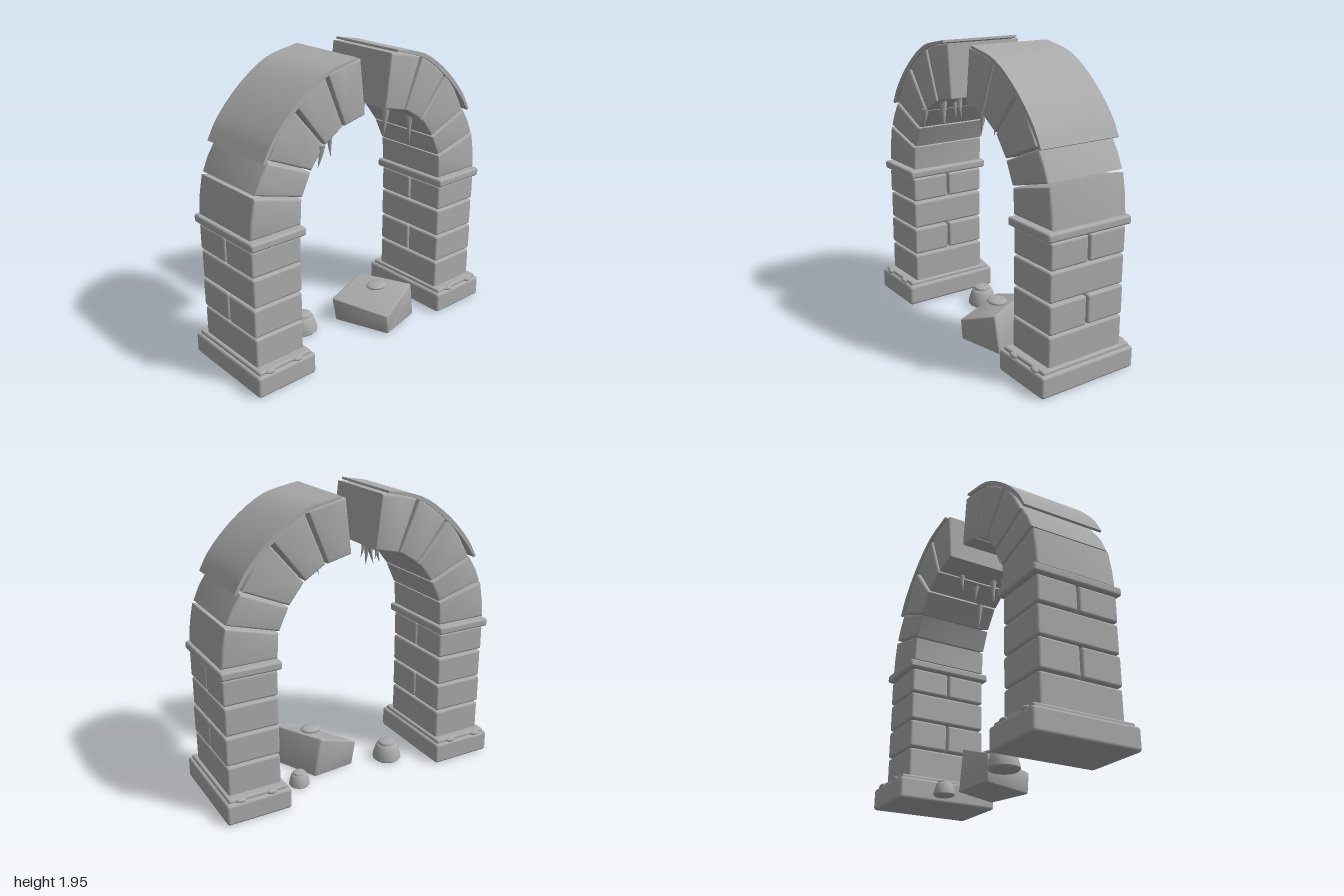
import * as THREE from 'three';
import { toCreasedNormals } from 'three/addons/utils/BufferGeometryUtils.js';
import { RoundedBoxGeometry } from 'three/addons/geometries/RoundedBoxGeometry.js';

const stone = new THREE.MeshStandardMaterial({ color: 0xaaaaaa });
stone.name = 'grey stone';

function add(parent, name, geometry, x = 0, y = 0, z = 0) {
  const mesh = new THREE.Mesh(geometry, stone);
  mesh.name = name;
  mesh.position.set(x, y, z);
  parent.add(mesh);
  return mesh;
}

// Rounded block given by its extents
function block(parent, name, x0, x1, y0, y1, z0, z1, r = 0.016) {
  const geo = new RoundedBoxGeometry(x1 - x0, y1 - y0, z1 - z0, 2, r);
  return add(parent, name, geo, (x0 + x1) / 2, (y0 + y1) / 2, (z0 + z1) / 2);
}

// Outline in x,y extruded through the depth of the arch, with soft edges
function slab(points, halfDepth, bevel) {
  const shape = new THREE.Shape(points.map(([x, y]) => new THREE.Vector2(x, y)));
  const geo = new THREE.ExtrudeGeometry(shape, {
    depth: 2 * (halfDepth - bevel), steps: 1, bevelEnabled: bevel > 0,
    bevelSize: bevel, bevelThickness: bevel, bevelOffset: -bevel, bevelSegments: 3,
  });
  geo.translate(0, 0, -halfDepth + bevel);
  return toCreasedNormals(geo, 0.6);
}

// Wedge stones for one side of the arch, from the springing upwards
const wedges = [
  [[0.96, 1.01], [0.95, 1.13], [0.925, 1.26], [0.585, 1.17], [0.595, 1.01]],
  [[0.915, 1.275], [0.875, 1.365], [0.82, 1.45], [0.515, 1.32], [0.58, 1.18]],
  [[0.805, 1.46], [0.72, 1.61], [0.63, 1.72], [0.41, 1.46], [0.51, 1.33]],
  [[0.61, 1.73], [0.51, 1.81], [0.4, 1.875], [0.265, 1.55], [0.4, 1.465]],
  [[0.38, 1.88], [0.26, 1.915], [0.125, 1.935], [0.085, 1.59], [0.25, 1.55]],
];

function archHalf(side) {
  const half = new THREE.Group();
  half.name = side > 0 ? 'leftHalf' : 'rightHalf';
  const span = (name, a, b, ...rest) =>
    block(half, name, Math.min(a * side, b * side), Math.max(a * side, b * side), ...rest);

  // Plinth with a thin moss layer and small clumps
  span('plinth', 0.56, 1, 0, 0.145, -0.355, 0.355, 0.02);
  span('plinthMoss', 0.58, 0.98, 0.135, 0.168, -0.335, 0.335, 0.014);
  for (const z of [-0.335, 0.335]) for (const x of [0.69, 0.9]) {
    add(half, 'mossClump', new THREE.SphereGeometry(1, 12, 8), side * x, 0.152, z)
      .scale.set(0.035, 0.016, 0.02);
  }

  // Pillar courses, every second one split in two
  const courses = [[0.155, 0.36], [0.37, 0.56], [0.57, 0.76], [0.77, 0.94]];
  courses.forEach(([y0, y1], i) => {
    const out = i % 2 ? 0.962 : 0.958;
    if (i % 2) {
      span('pillarBlock', 0.6, out, y0, y1, -0.28, -0.006);
      span('pillarBlock', 0.6, out, y0, y1, 0.006, 0.28);
    } else span('pillarBlock', 0.6, out, y0, y1, -0.28, 0.28);
  });
  span('capital', 0.58, 0.978, 0.946, 1.002, -0.31, 0.31);

  // Wedge stones
  for (const pts of wedges) {
    add(half, 'wedgeStone', slab(pts.map(([x, y]) => [x * side, y]), 0.278, 0.014));
  }

  // Curved covering over the upper three stones
  const ridge = new THREE.CatmullRomCurve3(
    [[0.86, 1.455], [0.79, 1.575], [0.62, 1.755], [0.41, 1.895], [0.165, 1.952]]
      .map(([x, y]) => new THREE.Vector3(x, y, 0))).getPoints(16);
  const outer = ridge.map(p => [p.x * side, p.y]);
  const inner = ridge.map((p, i) => {
    const n = new THREE.Vector2(p.x, p.y - 1).normalize();
    const t = 0.015 + 0.016 * Math.sin(Math.PI * i / 16);
    return [(p.x - n.x * t) * side, p.y - n.y * t];
  }).reverse();
  add(half, 'archCovering', slab([...outer, ...inner], 0.286, 0));
  return half;
}

// Hanging root: a thin cone whose tip bends sideways
function hangingRoot(x, top, tip, z, bend, r) {
  const h = top - tip;
  const geo = new THREE.ConeGeometry(r, h, 8, 6);
  geo.rotateX(Math.PI);
  const p = geo.attributes.position;
  for (let i = 0; i < p.count; i++) {
    const t = 0.5 - p.getY(i) / h;
    p.setX(i, p.getX(i) + bend * t * t);
  }
  geo.computeVertexNormals();
  geo.translate(x, (top + tip) / 2, z);
  return geo;
}

// Loose rock with a flattened top
function rock(parent, x, z, r, h) {
  const profile = [[0, 0], [0.88, 0], [1, 0.08], [0.96, 0.3], [0.75, 0.78], [0.62, 0.84],
    [0.58, 0.95], [0.45, 1], [0, 1]].map(([a, b]) => new THREE.Vector2(a * r, b * h));
  add(parent, 'looseRock', toCreasedNormals(new THREE.LatheGeometry(profile, 14), 0.7), x, 0, z);
}

// Toppled wedge stone: a rounded cube mapped onto eight corners
function fallenStone() {
  const v = a => new THREE.Vector3(...a);
  const bottom = [[-0.05, 0, -0.06], [0.26, 0, -0.09], [0.09, 0.005, 0.33], [0.42, 0.005, 0.25]].map(v);
  const top = [[-0.075, 0.175, -0.07], [0.21, 0.275, -0.09], [0.08, 0.14, 0.335], [0.38, 0.265, 0.26]].map(v);
  const geo = new RoundedBoxGeometry(1, 1, 1, 2, 0.04);
  const p = geo.attributes.position;
  const blend = (c, s, t) => c[0].clone().lerp(c[1], s).lerp(c[2].clone().lerp(c[3], s), t);
  for (let i = 0; i < p.count; i++) {
    const s = p.getX(i) + 0.5, t = p.getZ(i) + 0.5;
    const q = blend(bottom, s, t).lerp(blend(top, s, t), p.getY(i) + 0.5);
    p.setXYZ(i, q.x, q.y, q.z);
  }
  return toCreasedNormals(geo, 0.6);
}

export function createModel() {
  const model = new THREE.Group();
  model.name = 'ruinedArch';
  model.add(archHalf(1), archHalf(-1));

  // Roots under the broken crown: x, top, tip, z, bend, radius
  const roots = [
    [-0.43, 1.47, 1.33, 0.27, -0.03, 0.025], [-0.33, 1.53, 1.41, 0.1, 0.02, 0.02],
    [-0.31, 1.55, 1.34, 0.2, 0.01, 0.028], [-0.24, 1.58, 1.43, 0.12, 0.03, 0.025],
    [-0.18, 1.59, 1.43, -0.05, -0.03, 0.025],
    [0.16, 1.6, 1.38, 0.2, -0.02, 0.028], [0.21, 1.59, 1.38, 0.14, -0.01, 0.028],
    [0.24, 1.58, 1.43, -0.1, -0.02, 0.024], [0.3, 1.56, 1.41, 0.05, 0.02, 0.025],
    [0.42, 1.49, 1.27, 0.15, 0.015, 0.028],
  ];
  for (const r of roots) add(model, 'hangingRoot', hangingRoot(...r));

  // Rubble between the pillars
  add(model, 'fallenStone', fallenStone());
  const patch = add(model, 'fallenStoneMoss', new THREE.SphereGeometry(1, 16, 8), 0.185, 0.262, 0.11);
  patch.scale.set(0.075, 0.02, 0.065);
  rock(model, -0.31, -0.1, 0.1, 0.14);
  rock(model, 0.395, -0.12, 0.07, 0.1);
  return model;
}
